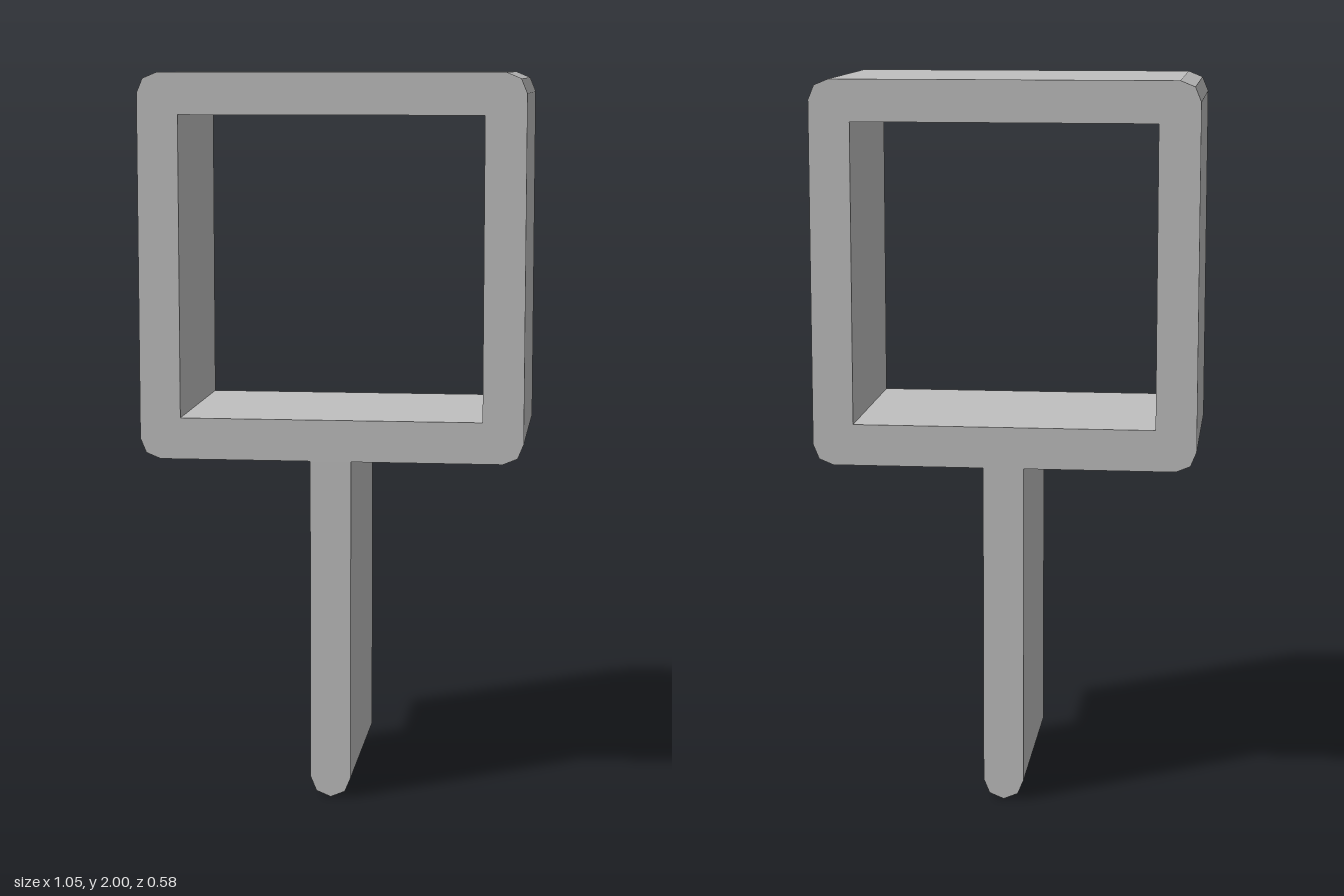
import * as THREE from 'three';

const DEPTH = 0.584;   // front to back
const HALF = 0.527;    // half width of the square frame
const INNER = 0.415;   // half width of the opening
const STEM = 0.056;    // half width of the stem
const R = 0.056;       // corner radius
const TOP = 2, LOW = 0.946;

// Corner softened by two flat facets, starting at the given angle
function corner(cx, cy, start) {
  return [0, 1, 2].map((i) => {
    const a = start + (i * Math.PI) / 4;
    return new THREE.Vector2(cx + R * Math.cos(a), cy + R * Math.sin(a));
  });
}

export function createModel() {
  const group = new THREE.Group();
  const grey = new THREE.MeshStandardMaterial({ color: 0xc0c0c0 });
  grey.name = 'light grey';
  const q = Math.PI / 2;
  const x = HALF - R;

  // Continuous outline of the frame and its stem, counter-clockwise
  const shape = new THREE.Shape([
    ...corner(0, R, 2 * q),
    ...corner(0, R, 3 * q).slice(1),
    new THREE.Vector2(STEM, LOW),
    ...corner(x, LOW + R, 3 * q),
    ...corner(x, TOP - R, 0),
    ...corner(-x, TOP - R, q),
    ...corner(-x, LOW + R, 2 * q),
    new THREE.Vector2(-STEM, LOW),
  ]);

  // Sharp-cornered square opening
  shape.holes.push(new THREE.Path([
    new THREE.Vector2(-INNER, 1.06),
    new THREE.Vector2(-INNER, 1.886),
    new THREE.Vector2(INNER, 1.886),
    new THREE.Vector2(INNER, 1.06),
  ]));

  const geometry = new THREE.ExtrudeGeometry(shape, { depth: DEPTH, bevelEnabled: false });
  geometry.translate(0, 0, -DEPTH / 2);
  const frame = new THREE.Mesh(geometry, grey);
  frame.name = 'frameWithStem';
  group.add(frame);
  return group;
}
